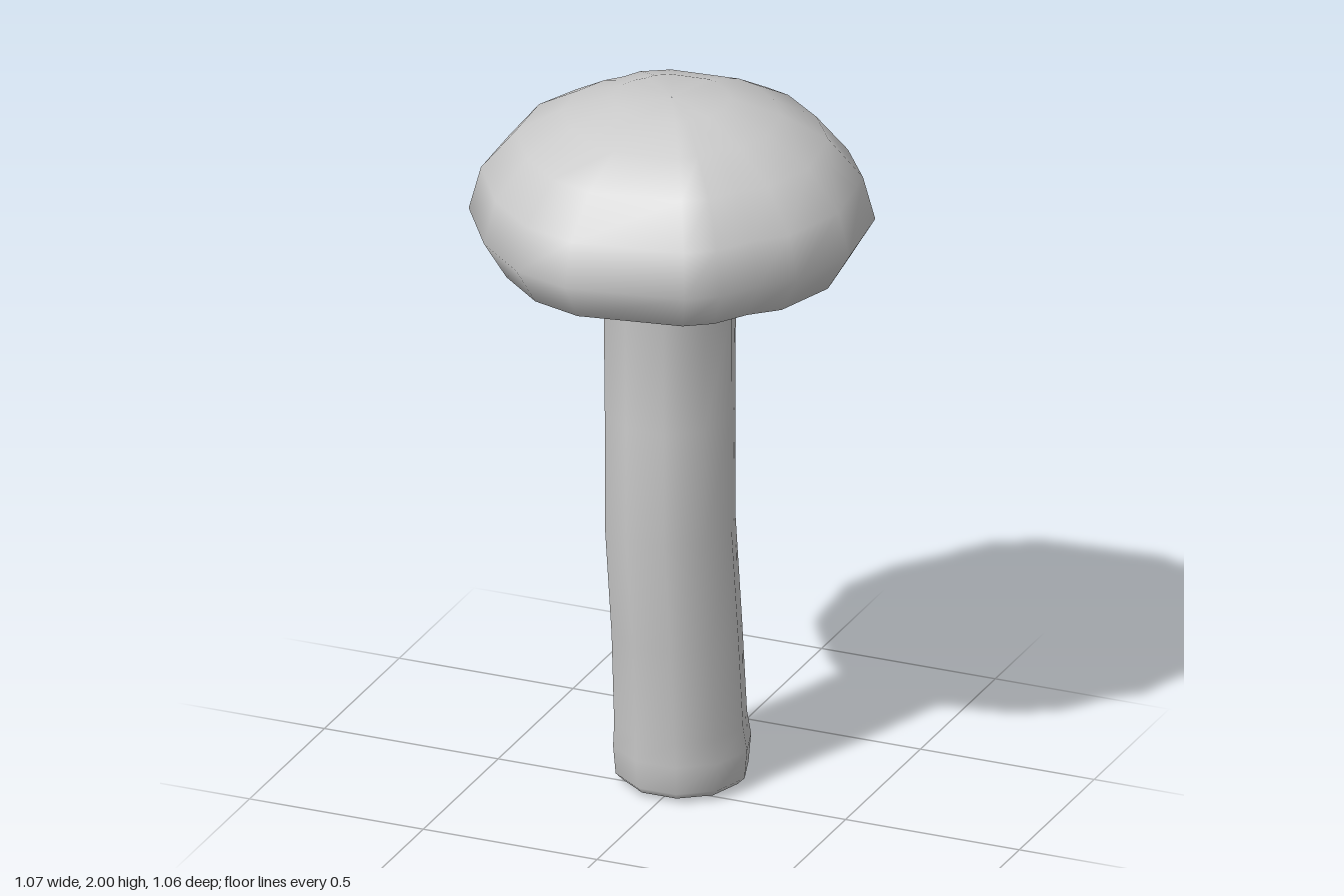
import * as THREE from 'three';

const material = new THREE.MeshStandardMaterial({ color: 0xcccccc });

// Skins a stack of rings from bottom to top; each ring is a list of [x, y, z].
function loft(name, rings) {
  const n = rings[0].length;
  const index = [];
  for (let i = 0; i < rings.length - 1; i++) {
    for (let j = 0; j < n; j++) {
      const k = (j + 1) % n;
      const a = i * n + j, b = i * n + k, c = a + n, d = b + n;
      index.push(a, c, b, b, c, d);
    }
  }
  const geometry = new THREE.BufferGeometry();
  geometry.setAttribute('position', new THREE.Float32BufferAttribute(rings.flat(2), 3));
  geometry.setIndex(index);
  geometry.computeVertexNormals();
  const mesh = new THREE.Mesh(geometry, material);
  mesh.name = name;
  return mesh;
}

// Uneven rim of the cap as [x, z]
const rim = [
  [0.13, -0.53], [0.22, -0.5], [0.38, -0.37], [0.495, -0.21], [0.53, 0.045], [0.465, 0.245],
  [0.385, 0.32], [0.32, 0.42], [0.24, 0.475], [-0.08, 0.53], [-0.24, 0.48], [-0.39, 0.35],
  [-0.52, 0.15], [-0.535, -0.09], [-0.47, -0.25], [-0.4, -0.33], [-0.35, -0.42], [-0.22, -0.5],
];

// Cap profile as [scale of rim, y], from the underside to the crown
const capProfile = [
  [0.002, 1.51], [0.4, 1.512], [0.7, 1.522], [0.88, 1.545], [1, 1.65],
  [0.94, 1.77], [0.77, 1.88], [0.54, 1.95], [0.29, 1.997], [0.002, 2],
];

// Stem sections as [y, radius, centre x, centre z]; the foot bends backward
const stemSections = [
  [0.01, 0.16, -0.005, -0.08], [0.03, 0.18, -0.005, -0.08], [0.11, 0.187, -0.005, -0.08],
  [0.18, 0.18, -0.005, -0.07], [0.45, 0.177, -0.005, -0.045], [0.78, 0.177, -0.005, 0],
  [1.1, 0.177, -0.005, 0], [1.41, 0.179, -0.005, 0.002], [1.53, 0.207, 0.015, 0.012],
];

const SIDES = 10;
function circle([y, r, cx, cz]) {
  return Array.from({ length: SIDES }, (_, j) => {
    const a = (j / SIDES) * Math.PI * 2;
    return [cx + r * Math.cos(a), y, cz + r * Math.sin(a)];
  });
}

export function createModel() {
  const group = new THREE.Group();
  group.name = 'mushroom';

  group.add(loft('cap', capProfile.map(([s, y]) => rim.map(([x, z]) => [x * s, y, z * s]))));
  group.add(loft('stem', stemSections.map(circle)));

  // Flat sole closing the bottom of the stem
  const [y, r, x, z] = stemSections[0];
  group.add(loft('stemSole', [circle([0.0, 0.002, x, z]), circle([y, r, x, z])]));

  return group;
}
